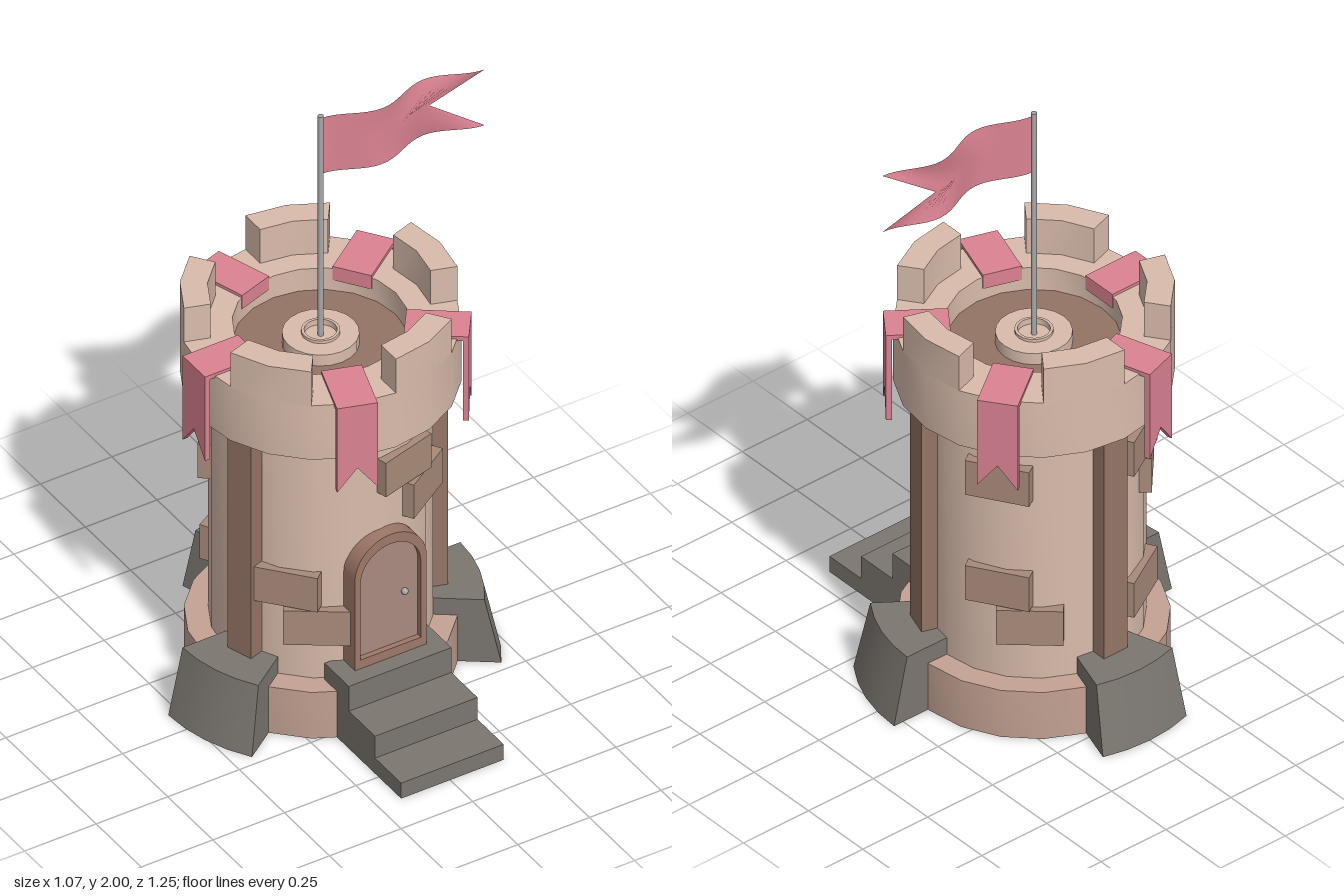
import * as THREE from 'three';
import { toCreasedNormals } from 'three/addons/utils/BufferGeometryUtils.js';

const rad = THREE.MathUtils.degToRad;
const mat = (color, side = THREE.FrontSide) => new THREE.MeshStandardMaterial({ color, side });
const M = {
  wall: mat(0xd9bcac), base: mat(0xc4a293), brick: mat(0xa88b7a), wood: mat(0x947466),
  frame: mat(0x9e7868), door: mat(0xaa8a80), stone: mat(0x7b7670),
  pink: mat(0xdb8292), cloth: mat(0xdb8292, THREE.DoubleSide), metal: mat(0xaaaaaa),
};

function add(parent, name, geometry, material, x = 0, y = 0, z = 0) {
  const mesh = new THREE.Mesh(geometry, material);
  mesh.name = name;
  mesh.position.set(x, y, z);
  parent.add(mesh);
  return mesh;
}

// Group whose local +z points outward; angle is measured from +x towards +z
function spoke(parent, name, degrees) {
  const g = new THREE.Group();
  g.name = name;
  g.rotation.y = Math.PI / 2 - rad(degrees);
  parent.add(g);
  return g;
}

// Turned part with 20 sides and sharp rims
function turned(profile) {
  const pts = profile.map(([r, y]) => new THREE.Vector2(r, y));
  return toCreasedNormals(new THREE.LatheGeometry(pts, 20), 0.6);
}

// Curved block: a box bent around the tower, optionally leaning inward
function sector(inner, outerLow, outerHigh, y0, y1, half, segments) {
  const g = new THREE.BoxGeometry(1, 1, 1, segments, 1, 1);
  const p = g.attributes.position;
  for (let i = 0; i < p.count; i++) {
    const t = p.getX(i) * 2 * rad(half);
    const top = p.getY(i) > 0;
    const r = p.getZ(i) < 0 ? inner : top ? outerHigh : outerLow;
    p.setXYZ(i, r * Math.sin(t), top ? y1 : y0, r * Math.cos(t));
  }
  return toCreasedNormals(g, 0.6);
}

// Round-topped outline standing on y = bottom
function arch(target, halfWidth, bottom, spring) {
  target.moveTo(-halfWidth, bottom);
  target.lineTo(halfWidth, bottom);
  target.lineTo(halfWidth, spring);
  target.absarc(0, spring, halfWidth, 0, Math.PI, false);
  target.lineTo(-halfWidth, bottom);
  return target;
}

const extrude = (shape, depth) =>
  toCreasedNormals(new THREE.ExtrudeGeometry(shape, { depth, bevelEnabled: false, curveSegments: 12 }), 0.6);

export function createModel() {
  const model = new THREE.Group();
  model.name = 'tower';
  const tower = new THREE.Group();
  tower.name = 'towerBody';
  tower.position.z = -0.093;
  model.add(tower);

  // Foundation, wall and parapet
  add(tower, 'foundation', turned([[0, 0], [0.405, 0], [0.405, 0.17], [0.3, 0.17]]), M.base);
  add(tower, 'wall', turned([[0.333, 0.1], [0.333, 1.06]]), M.wall);
  add(tower, 'parapet', turned([[0.32, 1.04], [0.417, 1.04], [0.417, 1.24], [0.262, 1.24], [0.262, 1.14]]), M.wall);
  add(tower, 'roofFloor', turned([[0.27, 1.16], [0, 1.16]]), M.wood);

  // Flagpole socket and pole
  add(tower, 'poleSocket', turned([[0.115, 1.15], [0.115, 1.2], [0.058, 1.2], [0.058, 1.21],
    [0.049, 1.21], [0.049, 1.19], [0, 1.19]]), M.wall);
  add(tower, 'flagpole', new THREE.CylinderGeometry(0.009, 0.009, 0.82, 12), M.metal, 0, 1.59, 0);

  // Swallow-tailed waving flag
  const flag = new THREE.PlaneGeometry(1, 1, 24, 2);
  const p = flag.attributes.position;
  for (let i = 0; i < p.count; i++) {
    const v = p.getY(i) * 2;
    const x = (p.getX(i) + 0.5) * (0.378 + 0.16 * Math.abs(v));
    p.setXYZ(i, x, v * 0.103, 0.0275 * (1 - Math.cos((2 * Math.PI * x) / 0.36)));
  }
  flag.computeVertexNormals();
  add(tower, 'flag', flag, M.cloth, 0, 1.887, 0);

  // Merlons
  const merlon = sector(0.335, 0.417, 0.417, 1.235, 1.365, 18, 2);
  for (let i = 0; i < 5; i++) add(spoke(tower, 'merlonSpoke', i * 72), 'merlon', merlon, M.wall);

  // Pennants draped over the gaps
  const tail = new THREE.Shape();
  [[-0.062, 1.25], [-0.062, 0.94], [0, 1.02], [0.062, 0.94], [0.062, 1.25]]
    .forEach(([x, y], i) => (i ? tail.lineTo(x, y) : tail.moveTo(x, y)));
  const tailGeo = extrude(tail, 0.018);
  for (let i = 0; i < 5; i++) {
    const g = spoke(tower, 'pennant', 36 + i * 72);
    add(g, 'pennantTail', tailGeo, M.pink, 0, 0, 0.425);
    add(g, 'pennantTop', new THREE.BoxGeometry(0.124, 0.016, 0.193), M.pink, 0, 1.242, 0.3465);
    add(g, 'pennantInnerFold', new THREE.BoxGeometry(0.124, 0.05, 0.012), M.pink, 0, 1.225, 0.256);
  }

  // Buttresses with timber posts above them
  const buttress = sector(0.31, 0.535, 0.485, 0, 0.23, 17.5, 4);
  for (const a of [18, 162, 270]) {
    const g = spoke(tower, 'buttressSpoke', a);
    add(g, 'buttress', buttress, M.stone);
    add(g, 'post', new THREE.BoxGeometry(0.09, 0.94, 0.08), M.wood, 0, 0.57, 0.336);
  }

  // Raised bricks: [angle, centre height]
  const bricks = [[74.5, 0.885], [57.5, 0.752], [139.5, 0.5], [124, 0.368],
    [328, 0.885], [328, 0.5], [312, 0.368], [240, 0.885], [222, 0.752], [240, 0.368]];
  for (const [a, y] of bricks) {
    add(spoke(tower, 'brickSpoke', a), 'brick', new THREE.BoxGeometry(0.2, 0.125, 0.08), M.brick, 0, y, 0.312);
  }

  // Arched door with frame and knob
  const frame = arch(new THREE.Shape(), 0.125, 0.225, 0.56);
  frame.holes.push(arch(new THREE.Path(), 0.105, 0.262, 0.545));
  add(tower, 'doorFrame', extrude(frame, 0.095), M.frame, 0.01, 0, 0.278);
  add(tower, 'door', extrude(arch(new THREE.Shape(), 0.11, 0.25, 0.545), 0.07), M.door, 0.01, 0, 0.285);
  add(tower, 'doorKnob', new THREE.SphereGeometry(0.011, 12, 8), M.metal, 0.066, 0.445, 0.362);

  // Stairs
  [[0.625, 0.057], [0.48, 0.138], [0.335, 0.23]].forEach(([front, h]) => {
    add(model, 'step', new THREE.BoxGeometry(0.358, h, front - 0.2), M.stone, 0.008, h / 2, (front + 0.2) / 2);
  });

  return model;
}
